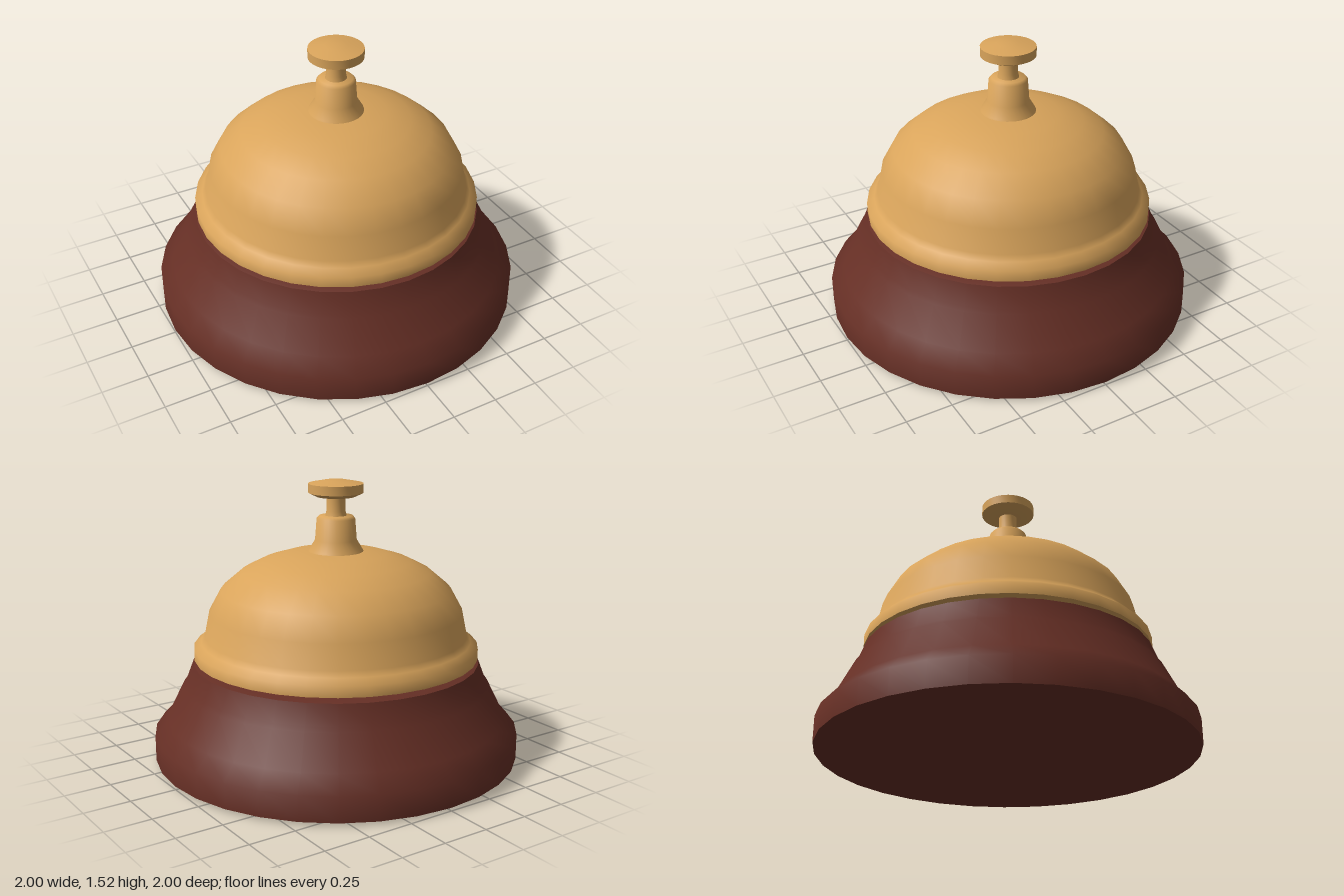
import * as THREE from 'three';
import { toCreasedNormals } from 'three/addons/utils/BufferGeometryUtils.js';

const woodRed = new THREE.MeshStandardMaterial({ color: 0x662f25 });
woodRed.name = 'dark red wood';
const brass = new THREE.MeshStandardMaterial({ color: 0xd9a45b });
brass.name = 'brass';

// Turned part from a [radius, height] profile, listed bottom to top
function turned(name, material, profile, crease, segments = 32) {
  const points = profile.map(([r, y]) => new THREE.Vector2(r, y));
  const geometry = toCreasedNormals(new THREE.LatheGeometry(points, segments), crease);
  const mesh = new THREE.Mesh(geometry, material);
  mesh.name = name;
  return mesh;
}

export function createModel() {
  const group = new THREE.Group();
  group.name = 'deskBell';

  // Flared base with a rounded foot and a flat underside
  group.add(turned('base', woodRed, [
    [0, 0.005], [0.91, 0.005], [1, 0.022], [1, 0.16], [0.925, 0.24],
    [0.838, 0.415], [0.82, 0.44], [0.78, 0.545], [0.74, 0.555], [0, 0.56],
  ], 0.85));

  // Domed bell with a lipped rim
  group.add(turned('bell', brass, [
    [0, 0.567], [0.72, 0.565], [0.775, 0.572], [0.775, 0.63], [0.735, 0.66],
    [0.715, 0.69], [0.688, 0.82], [0.622, 0.94], [0.51, 1.035],
    [0.4, 1.09], [0.27, 1.13], [0.13, 1.145], [0, 1.148],
  ], 1.1));

  // Collar and sleeve around the plunger
  group.add(turned('collar', brass, [
    [0.152, 1.135], [0.145, 1.15], [0.112, 1.205], [0.103, 1.32], [0.09, 1.334], [0, 1.338],
  ], 0.8));

  // Plunger rod, slightly wider at its foot
  group.add(turned('plungerRod', brass, [
    [0.06, 1.325], [0.051, 1.36], [0.051, 1.45],
  ], 0.8, 24));

  // Push button
  group.add(turned('pushButton', brass, [
    [0, 1.434], [0.105, 1.437], [0.147, 1.457], [0.147, 1.506], [0.06, 1.523], [0, 1.526],
  ], 0.8));

  return group;
}
